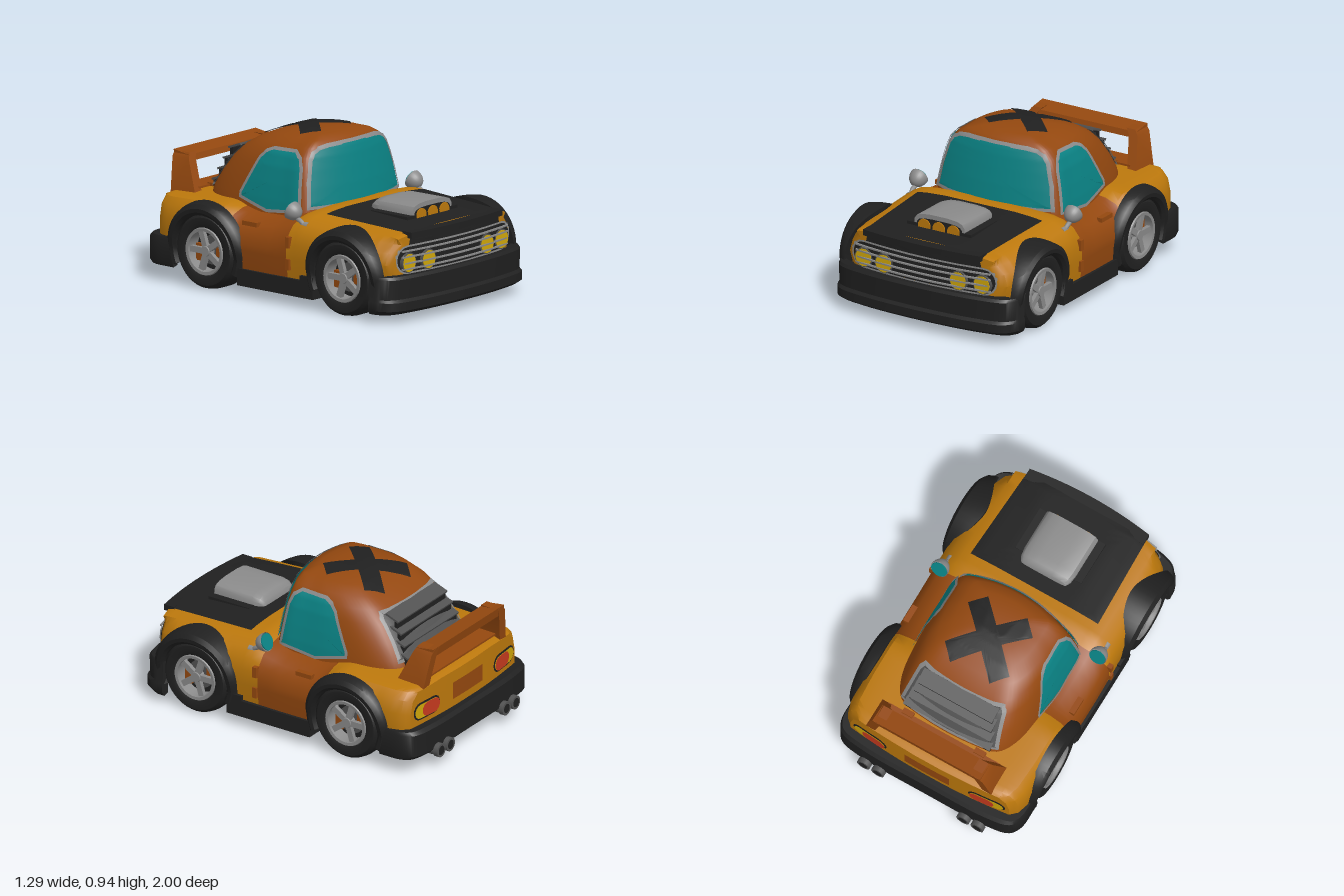
import * as THREE from 'three';
import { toCreasedNormals } from 'three/addons/utils/BufferGeometryUtils.js';

const paint = (name, color) => new THREE.MeshStandardMaterial({ name, color, side: THREE.DoubleSide });
const yellow = paint('yellow paint', 0xbc780c), orange = paint('orange paint', 0x94480f), black = paint('black trim', 0x202020),
  grey = paint('light metal', 0x8a8a8a), dark = paint('dark metal', 0x525252), glass = paint('teal glass', 0x0a8284),
  lamp = paint('lamp yellow', 0xcfa60a), red = paint('tail red', 0xc63a1e);

const V = (x, y, z) => new THREE.Vector3(x, y, z);
// Linear lookup in a table of [key, value] rows with falling keys
const lookup = (table, k) => {
  let i = 0;
  while (i < table.length - 2 && k < table[i + 1][0]) i++;
  const a = table[i], b = table[i + 1];
  return a[1] + (b[1] - a[1]) * THREE.MathUtils.clamp((k - a[0]) / (b[0] - a[0]), 0, 1);
};
// Outline helpers
const symmetric = half => [...half, ...half.slice().reverse().map(([x, y]) => [-x, y])];
const subdivide = (pts, k = 8) => pts.flatMap((p, i) => {
  const q = pts[(i + 1) % pts.length];
  return Array.from({ length: k }, (_, j) => [p[0] + (q[0] - p[0]) * j / k, p[1] + (q[1] - p[1]) * j / k]);
});
const centre = pts => {
  const xs = pts.map(p => p[0]), ys = pts.map(p => p[1]);
  const c = [(Math.min(...xs) + Math.max(...xs)) / 2, (Math.min(...ys) + Math.max(...ys)) / 2];
  return pts.map(() => c);
};
const inset = (pts, d) => pts.map((p, i) => {
  const a = pts.at(i - 1), b = pts[(i + 1) % pts.length], c = centre(pts)[0];
  const nx = a[1] - b[1], ny = b[0] - a[0];
  const l = Math.hypot(nx, ny) * Math.sign(nx * (c[0] - p[0]) + ny * (c[1] - p[1]));
  return [p[0] + nx / l * d, p[1] + ny / l * d];
});
const capsule = (w, h, x, y) => subdivide(Array.from({ length: 18 }, (_, i) => {
  const side = i < 9 ? 1 : -1, t = (i % 9) / 8 * Math.PI - side * Math.PI / 2;
  return [x + side * (w - h) / 2 + Math.cos(t) * h / 2, y + Math.sin(t) * h / 2];
}), 5);
// Directions a panel can be laid on from
const fromFront = { dir: V(0, 0, -1), at: (x, y) => V(x, y, 2) }, fromBack = { dir: V(0, 0, 1), at: (x, y) => V(x, y, -2) };
const fromTop = { dir: V(0, -1, 0), at: (x, z) => V(x, 2, z) };
const fromSide = s => ({ dir: V(-s, 0, 0), at: (z, y) => V(2 * s, y, z) });

export function createModel() {
  const car = new THREE.Group();
  car.name = 'car';
  const add = (name, geo, mat, x = 0, y = 0, z = 0, parent = car) => {
    const m = new THREE.Mesh(geo, mat);
    m.name = name;
    m.position.set(x, y, z);
    parent.add(m);
    return m;
  };
  const box = (name, mat, w, h, d, x, y, z, parent) => add(name, new THREE.BoxGeometry(w, h, d), mat, x, y, z, parent);
  const rod = (name, mat, r, len, x, y, z, parent) => add(name, new THREE.CylinderGeometry(r, r, len, 20).rotateX(Math.PI / 2), mat, x, y, z, parent);

  // Skin through closed rings of equal length, with optional end caps
  const loft = (name, rings, mat, capA = true, capB = true, crease = 0.6) => {
    const n = rings[0].length, pts = rings.flat(), idx = [];
    for (let r = 0; r < rings.length - 1; r++) for (let i = 0; i < n; i++) {
      const a = r * n + i, b = r * n + (i + 1) % n;
      idx.push(a, b, a + n, b, b + n, a + n);
    }
    const cap = (ring, flip) => {
      const s = pts.length, c = ring.reduce((t, p) => t.add(p), V(0, 0, 0)).divideScalar(n);
      pts.push(...ring, c);
      for (let i = 0; i < n; i++) idx.push(s + n, ...(flip ? [s + i, s + (i + 1) % n] : [s + (i + 1) % n, s + i]));
    };
    if (capA) cap(rings[0], false);
    if (capB) cap(rings.at(-1), true);
    const g = new THREE.BufferGeometry().setFromPoints(pts);
    g.setIndex(idx);
    return add(name, toCreasedNormals(g, crease), mat);
  };

  // Thin sheet laid over a target surface, spanning outline `a` to outline `b`
  const ray = new THREE.Raycaster();
  const drape = (name, target, from, a, b, steps, off, mat) => {
    const pts = [], idx = [], n = a.length;
    for (let s = 0; s <= steps; s++) for (let i = 0; i < n; i++) {
      const t = s / steps, o = from.at(a[i][0] + (b[i][0] - a[i][0]) * t, a[i][1] + (b[i][1] - a[i][1]) * t);
      ray.set(o, from.dir);
      const hit = ray.intersectObject(target)[0];
      if (!hit) { pts.push(pts.length ? pts.at(-1).clone() : o.addScaledVector(from.dir, 1.6)); continue; }
      const nor = hit.face.normal.clone();
      pts.push(hit.point.clone().addScaledVector(nor, nor.dot(from.dir) > 0 ? -off : off));
    }
    for (let s = 0; s < steps; s++) for (let i = 0; i < n; i++) {
      const p = s * n + i, q = s * n + (i + 1) % n;
      idx.push(p, q, p + n, q, q + n, p + n);
    }
    const g = new THREE.BufferGeometry().setFromPoints(pts);
    g.setIndex(idx);
    g.computeVertexNormals();
    return add(name, g, mat);
  };
  const panel = (name, target, from, outline, off, mat) => drape(name, target, from, outline, centre(outline), 14, off, mat);
  const framed = (name, target, from, o, mat, rim = 0.018) => {
    drape(name + 'Frame', target, from, o, inset(o, rim), 2, 0.012, grey);
    panel(name, target, from, inset(o, rim * 0.8), 0.008, mat);
  };

  // Body shell: bowed cross-sections along z, lifted over the wheel wells
  const axles = [0.573, -0.482], R = 0.24, hubY = 0.23, BOW = 0.2;
  const widths = [[0.93, 0.505], [0.9, 0.54], [0.8, 0.572], [0.573, 0.592], [0.2, 0.595], [0, 0.6], [-0.6, 0.6], [-0.8, 0.59], [-0.88, 0.57], [-0.92, 0.53]];
  const tops = [[0.93, 0.51], [0.9, 0.517], [0.2, 0.553], [0.14, 0.53], [0, 0.5], [-0.2, 0.495], [-0.3, 0.51], [-0.4, 0.533], [-0.88, 0.515], [-0.92, 0.5]];
  const section = (z, scale = 1) => {
    const w = lookup(widths, z), t = lookup(tops, z), full = THREE.MathUtils.smoothstep(-z, 0.25, 0.4);
    const d = Math.min(...axles.map(a => Math.abs(z - a)));
    const yb = d <= R + 1e-6 ? hubY + Math.sqrt(Math.max(0, R * R - d * d)) : 0.14;
    const bow = z > 0 ? -BOW * Math.max(0, z - 0.7) / 0.23 : 0.12 * Math.max(0, -z - 0.7) / 0.22;
    const half = [[0.08, t], [0.25, t], [0.4, t - 0.01], [0.47, t - 0.025 + 0.015 * full], [w - 0.06, t - 0.06 + 0.04 * full], [w - 0.02, t - 0.11 + 0.05 * full],
      [w, t - 0.18 + 0.04 * full], [w - (z > 0.85 ? 0.02 : 0), 0.28], [w - (z > 0.85 ? 0.05 : 0.015), yb], [0.37, yb], [0.37, 0.14]];
    return symmetric(half.map(([x, y], i) => [x, i < 9 ? Math.max(y, yb) : y]))
      .map(([x, y]) => V(x * scale, 0.33 + (y - 0.33) * scale, z + bow * (x * scale) ** 2));
  };
  const stations = [0.93, 0.915, 0.9, 0.86, 0.25, 0.2, 0.14, 0.07, 0, -0.1, -0.2, -0.31, -0.8, -0.84, -0.88, -0.9, -0.92];
  for (const a of axles) {
    for (let i = 0; i <= 14; i++) stations.push(a + R * Math.cos(i * Math.PI / 14));
    stations.push(a + R + 0.001, a - R - 0.001);
  }
  stations.sort((a, b) => b - a);
  const span = (hi, lo) => stations.filter(z => z <= hi && z >= lo).map(z => section(z));
  const face = [0.02, 0.2, 0.4, 0.6, 0.8, 0.93];
  const nose = loft('frontBody', [...face.map(s => section(0.93, s)), ...span(0.93, 0.14)], yellow, true, false);
  loft('doorBody', span(0.14, -0.31), orange, false, false);
  const tail = loft('rearBody', [...span(-0.31, -0.92), ...face.map(s => section(-0.92, s)).reverse()], yellow, false, true);

  // Cabin: stacked rounded outlines [y, half width, front z, rear z]
  const cabin = loft('cabin', [[0.42, 0.432, 0.22, -0.72], [0.5, 0.425, 0.21, -0.71], [0.56, 0.418, 0.2, -0.69], [0.65, 0.402, 0.185, -0.635], [0.75, 0.38, 0.165, -0.56],
    [0.82, 0.354, 0.15, -0.485], [0.87, 0.314, 0.135, -0.405], [0.905, 0.25, 0.11, -0.32], [0.925, 0.17, 0.05, -0.24], [0.935, 0.08, -0.03, -0.18]].map(([y, w, f, r]) => {
    const half = [[0.45, f - 0.04 * w], [0.8, f - 0.13 * w], [0.945, f - 0.2 * w], [0.995, f - 0.3 * w], [1, f - 0.6 * w], [1, (f + r) / 2 - 0.05 * w], [0.93, r + 0.4 * w], [0.75, r + 0.09 * w], [0.34, r]];
    const ring = [[0, f], ...symmetric(half)].map(([x, z]) => V(x * w, y, z));
    return new THREE.CatmullRomCurve3(ring, true, 'centripetal').getPoints(95).slice(0, 95);
  }), orange, false, true, 0.9);

  // Windows
  framed('windshield', cabin, fromFront, subdivide(symmetric([[0.398, 0.53], [0.374, 0.68], [0.338, 0.81], [0.308, 0.85], [0.265, 0.873], [0.2, 0.884], [0.08, 0.889]])), glass);
  framed('rearWindow', cabin, fromBack, subdivide(symmetric([[0.32, 0.545], [0.285, 0.77], [0.262, 0.805]])), dark);
  const sideWindow = subdivide([[0.1, 0.51], [0.072, 0.76], [0.05, 0.82], [0, 0.855], [-0.17, 0.85], [-0.22, 0.83], [-0.26, 0.79], [-0.37, 0.575], [-0.37, 0.54], [-0.15, 0.485]]);
  for (const s of [1, -1]) framed('sideWindow', cabin, fromSide(s), sideWindow, glass);

  // Roof cross and black hood, which wraps down to the grille
  for (const s of [1, -1]) {
    const c = Math.SQRT1_2, bar = [[0.245, 0.06], [0.245, -0.06], [-0.245, -0.06], [-0.245, 0.06]].map(([u, v]) => [(u - v * s) * c, (u * s + v) * c - 0.215]);
    panel('roofCross', cabin, fromTop, subdivide(bar, 10), 0.007, black);
  }
  panel('hoodPanel', nose, fromTop, subdivide(symmetric([[0.425, 0.3], [0.4, 0.895]]), 14), 0.009, black);
  panel('hoodFront', nose, fromFront, subdivide(symmetric([[0.385, 0.48], [0.4, 0.42]]), 12), 0.005, black);
  const bowed = (name, mat, w, h, d, y, z) => {
    const g = new THREE.BoxGeometry(w, h, d, 24), p = g.attributes.position;
    for (let i = 0; i < p.count; i++) p.setZ(i, p.getZ(i) - BOW * p.getX(i) ** 2);
    g.computeVertexNormals();
    return add(name, g, mat, 0, y, z);
  };
  bowed('hoodLip', black, 0.8, 0.036, 0.07, 0.503, 0.925);

  // Rear window louvers: metal blades with dark risers
  for (let i = 0; i < 4; i++) {
    const y = 0.768 - 0.065 * i, z = -0.605 - 0.031 * i, w = 0.5 + 0.026 * i;
    box('louverBlade', dark, w, 0.012, 0.095, 0, y + 0.016, z + 0.042).rotation.x = -0.36;
    box('louverRiser', black, w - 0.01, 0.045, 0.02, 0, y - 0.022, z + 0.018);
  }

  // Wheel arches, bulging most at the crown
  for (const s of [1, -1]) for (const a of axles) {
    const rings = [], reach = a > 0 ? 0.085 : 0.01;
    for (let i = 0; i <= 32; i++) {
      const t = THREE.MathUtils.degToRad(-25 + i * 230 / 32), k = Math.max(0, Math.sin(t));
      const x0 = 0.57 - reach * k ** 4, x1 = 0.612 + 0.033 * Math.sqrt(k);
      rings.push([[x0, 0.214], [x1 - 0.02, 0.217], [x1 - 0.003, 0.235], [x1, 0.258], [x1 - 0.02, 0.283], [(x0 + x1 - 0.025) / 2, 0.293], [x0, 0.297]]
        .map(([x, r]) => V(s * x, hubY + r * Math.sin(t), a + r * Math.cos(t))));
    }
    loft('wheelArch', rings, black);
  }

  // Wheels, built with the axle along y and then laid on their side
  const lathe = pts => toCreasedNormals(new THREE.LatheGeometry(pts.map(p => new THREE.Vector2(...p)), 40), 0.6);
  for (const s of [1, -1]) for (const a of axles) {
    const w = new THREE.Group();
    w.name = 'wheel';
    add('tire', lathe([[0.14, -0.1], [0.19, -0.11], [0.215, -0.085], [0.226, -0.04], [0.226, 0.05], [0.218, 0.09], [0.2, 0.108], [0.16, 0.11], [0.14, 0.1]]), black, 0, 0, 0, w);
    add('rim', lathe([[0.142, 0.1], [0.138, 0.11], [0.12, 0.108], [0.115, 0.03]]), grey, 0, 0, 0, w);
    add('wheelDish', new THREE.CylinderGeometry(0.14, 0.14, 0.12, 32), black, 0, -0.03, 0, w);
    add('brakeDisc', new THREE.CylinderGeometry(0.085, 0.085, 0.015, 28), dark, 0, 0.038, 0, w);
    for (const d of [1, -1]) box('brakeCaliper', orange, 0.1, 0.03, 0.05, d * 0.02, 0.045, d * 0.075, w);
    add('hub', new THREE.CylinderGeometry(0.03, 0.04, 0.04, 20), grey, 0, 0.08, 0, w);
    for (let i = 0; i < 5; i++) {
      const spoke = new THREE.Group();
      spoke.rotation.y = i * Math.PI * 0.4 + Math.PI / 2;
      w.add(spoke);
      box('spoke', grey, 0.1, 0.025, 0.036, 0.073, 0.08, 0, spoke);
    }
    w.rotation.z = -s * Math.PI / 2;
    w.position.set(s * 0.5, hubY, a);
    car.add(w);
  }

  // Bumpers: a profile [outset, y] carried around a plan path
  const bumper = (name, half, profile) => {
    const path = new THREE.CatmullRomCurve3([...half, ...half.slice(0, -1).reverse().map(p => V(-p.x, 0, p.z))], false, 'centripetal');
    const rings = [];
    for (let i = 0; i <= 48; i++) {
      const p = path.getPoint(i / 48), t = path.getTangent(i / 48), n = V(t.z, 0, -t.x).normalize();
      if (n.dot(p) < 0) n.negate();
      rings.push(profile.map(([o, y]) => V(p.x + n.x * o * 0.4, y, p.z + n.z * o)));
    }
    loft(name, rings, black);
  };
  bumper('frontBumper', [V(0.622, 0, 0.79), V(0.613, 0, 0.86), V(0.56, 0, 0.935), V(0.39, 0, 0.978), V(0, 0, 1)],
    [[-0.1, 0.07], [-0.04, 0.055], [0, 0.08], [0, 0.13], [-0.02, 0.145], [-0.015, 0.262], [-0.03, 0.278], [-0.1, 0.275]]);
  bumper('rearBumper', [V(0.61, 0, -0.72), V(0.603, 0, -0.87), V(0.56, 0, -0.935), V(0.42, 0, -0.965), V(0, 0, -0.972)],
    [[-0.1, 0.11], [-0.02, 0.1], [0, 0.12], [0, 0.255], [-0.02, 0.275], [-0.1, 0.275]]);

  // Grille, headlights, tail lights and rear panel
  framed('grille', nose, fromFront, capsule(0.99, 0.17, 0, 0.361), black, 0.011);
  for (const y of [0.415, 0.38, 0.342, 0.308]) bowed('grilleBar', grey, 0.92, 0.009, 0.012, y, 0.953);
  for (const x of [-0.405, -0.255, 0.255, 0.405]) {
    rod('headlightRing', dark, 0.06, 0.03, x, 0.342, 0.933 - BOW * x * x);
    rod('headlight', lamp, 0.053, 0.034, x, 0.342, 0.935 - BOW * x * x);
  }
  for (const s of [1, -1]) {
    panel('tailLightFrame', tail, fromBack, capsule(0.235, 0.11, s * 0.39, 0.362), 0.005, black);
    panel('tailLight', tail, fromBack, capsule(0.215, 0.088, s * 0.39, 0.362), 0.009, lamp);
    panel('tailLightRed', tail, fromBack, capsule(0.155, 0.088, s * 0.36, 0.362), 0.013, red);
  }
  panel('rearPanel', tail, fromBack, subdivide(symmetric([[0.15, 0.325], [0.15, 0.43]])), 0.005, orange);

  // Hood scoop with three intake trumpets
  box('scoopBase', black, 0.44, 0.025, 0.28, 0, 0.54, 0.6);
  const arch = symmetric([[0.172, 0], [0.17, 0.045], [0.155, 0.067], [0.12, 0.08], [0.06, 0.086]]);
  loft('hoodScoop', [[0.735, 1, 1], [0.48, 1, 0.96], [0.43, 0.96, 0.85], [0.405, 0.88, 0.6], [0.395, 0.8, 0.2]]
    .map(([z, w, h]) => arch.map(([x, y]) => V(x * w, 0.533 + y * h, z))), grey);
  loft('scoopOpening', [0.73, 0.738].map(z => arch.map(([x, y]) => V(x * 0.9, 0.533 + y * 0.68, z))), black);
  for (const x of [-0.1, 0, 0.1]) rod('intakeTrumpet', yellow, 0.042, 0.03, x, 0.545, 0.73);

  // Spoiler
  const wing = [[-0.8, 0.675], [-0.81, 0.711], [-0.93, 0.728], [-0.918, 0.668]];
  loft('spoilerWing', [-0.36, 0.36].map(x => wing.map(([z, y]) => V(x, y, z))), orange);
  box('spoilerBase', orange, 0.74, 0.012, 0.15, 0, 0.528, -0.8).rotation.x = -0.04;
  for (const s of [1, -1]) {
    loft('spoilerLeg', [[0.49, 0.42, -0.71, -0.9], [0.69, 0.375, -0.8, -0.925], [0.722, 0.35, -0.815, -0.93]]
      .map(([y, x, f, r]) => [V(s * x, y, f), V(s * x, y, r), V(s * (x - 0.06), y, r), V(s * (x - 0.06), y, f)]), orange);
    box('trunkHinge', orange, 0.07, 0.02, 0.035, s * 0.24, 0.535, -0.725);
  }

  // Mirrors, door fittings, sills and underbody, on both sides
  for (const s of [1, -1]) {
    const mirror = new THREE.Group();
    mirror.name = 'mirror';
    mirror.position.set(s * 0.53, 0.557, 0.12);
    mirror.rotation.x = 0.4;
    car.add(mirror);
    add('mirrorShell', new THREE.SphereGeometry(0.056, 24, 10, 0, Math.PI * 2, 0, Math.PI / 2).scale(1, 1.3, 1).rotateX(Math.PI / 2), grey, 0, 0, 0, mirror);
    rod('mirrorGlass', glass, 0.05, 0.008, 0, 0, -0.002, mirror);
    const arm = new THREE.CatmullRomCurve3([V(s * 0.53, 0.52, 0.15), V(s * 0.53, 0.495, 0.2), V(s * 0.52, 0.46, 0.225)]);
    add('mirrorArm', new THREE.TubeGeometry(arm, 10, 0.014, 10), grey);
    rod('mirrorFoot', grey, 0.024, 0.05, s * 0.52, 0.475, 0.222);
    box('doorHandle', orange, 0.035, 0.026, 0.11, s * 0.555, 0.437, -0.165);
    for (const y of [0.25, 0.38]) box('doorHinge', orange, 0.03, 0.065, 0.03, s * 0.594, y, 0.155);
    box('sill', black, 0.13, 0.1, 0.58, s * 0.54, 0.12, 0.06);
    box('sillStep', black, 0.1, 0.05, 0.1, s * 0.555, 0.175, 0.3);
    box('frameRail', black, 0.08, 0.06, 1.2, s * 0.24, 0.1, 0.02);
    rod('exhaustLine', dark, 0.025, 0.5, s * 0.12, 0.1, -0.4);
    rod('muffler', dark, 0.042, 0.2, s * 0.3, 0.1, -0.75);
    for (const x of [0.285, 0.38]) {
      rod('exhaustPipe', dark, 0.036, 0.13, s * x, 0.11, -0.932);
      rod('exhaustTip', dark, 0.042, 0.03, s * x, 0.11, -0.985);
      rod('exhaustBore', black, 0.028, 0.006, s * x, 0.11, -0.998);
    }
  }
  box('floorPan', orange, 0.72, 0.025, 1.6, 0, 0.133, -0.08);
  box('frontTray', black, 0.6, 0.03, 0.2, 0, 0.12, 0.76);
  box('rearValance', orange, 0.49, 0.12, 0.03, 0, 0.09, -0.83).rotation.x = 0.35;
  for (const z of [0.58, 0.36, -0.62]) box('crossMember', black, 0.5, 0.05, 0.12, 0, 0.105, z);
  rod('driveShaft', dark, 0.045, 0.95, 0, 0.105, -0.1);
  for (const z of axles) add('axle', new THREE.CylinderGeometry(0.03, 0.03, 0.9, 16).rotateZ(Math.PI / 2), dark, 0, 0.17, z);
  return car;
}
